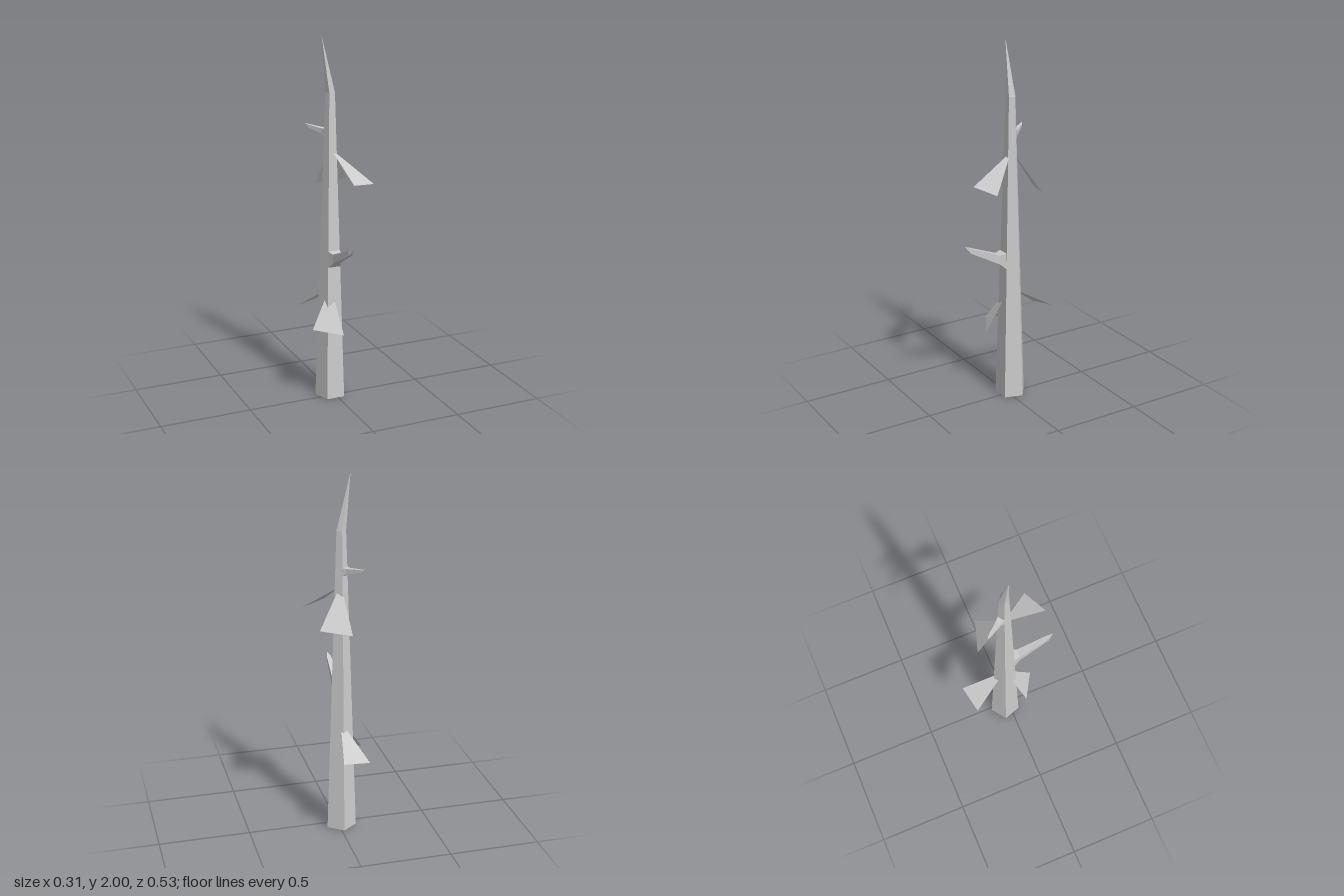
import * as THREE from 'three';

const CX = -0.014, CZ = -0.025; // trunk axis
const BASE_R = 0.086, KNEE_R = 0.027, KNEE_Y = 1.7;
const radiusAt = (y) => BASE_R + (KNEE_R - BASE_R) * (y / KNEE_Y);

const material = new THREE.MeshStandardMaterial({
  color: 0xcccccc, flatShading: true, side: THREE.DoubleSide,
});

function triangles(name, corners) {
  const geometry = new THREE.BufferGeometry().setFromPoints(corners);
  geometry.computeVertexNormals();
  const mesh = new THREE.Mesh(geometry, material);
  mesh.name = name;
  return mesh;
}

// Skin a stack of rings and close it in a pointed tip
function spike(name, rings, tip) {
  const out = [];
  const n = rings[0].length;
  rings.forEach((ring, k) => {
    const next = rings[k + 1];
    for (let i = 0; i < n; i++) {
      const j = (i + 1) % n;
      if (next) out.push(ring[i], ring[j], next[j], ring[i], next[j], next[i]);
      else out.push(ring[i], ring[j], tip);
    }
  });
  return triangles(name, out);
}

function pentagon(y, r) {
  return Array.from({ length: 5 }, (_, i) => {
    const a = Math.PI + (i * Math.PI * 2) / 5;
    return new THREE.Vector3(CX + r * Math.sin(a), y, CZ + r * Math.cos(a));
  });
}

// Thorn-like twig growing from one trunk face; sections are [distance along, width, low, high]
function twig(name, angle, sections, [tipOut, tipY]) {
  const n = new THREE.Vector3(Math.sin(angle), 0, Math.cos(angle));
  const side = new THREE.Vector3(Math.cos(angle), 0, -Math.sin(angle));
  const at = (out, s, y) => new THREE.Vector3(CX, y, CZ).addScaledVector(n, out).addScaledVector(side, s);
  const rings = sections.map(([out, w, low, high]) => [
    at(out, -w / 2, low), at(out, w / 2, low), at(out, w / 2, high), at(out, -w / 2, high),
  ]);
  return spike(name, rings, at(tipOut, 0.003, tipY));
}

export function createModel() {
  const model = new THREE.Group();
  model.name = 'sapling';

  // Tapered five-sided trunk, open below, with a bent tip
  model.add(spike('trunk', [pentagon(0, BASE_R), pentagon(KNEE_Y, KNEE_R)],
    new THREE.Vector3(-0.065, 2, -0.022)));

  // Twigs
  const faceOut = (y) => radiusAt(y) * Math.cos(Math.PI / 5);
  model.add(twig('frontTwig', 0, [
    [faceOut(0.8), 0.068, 0.757, 0.848],
    [0.083, 0.046, 0.79, 0.842],
    [0.257, 0.022, 0.885, 0.912],
  ], [0.289, 0.927]));
  model.add(twig('backTwig', (-144 * Math.PI) / 180, [
    [faceOut(1.48), 0.042, 1.462, 1.507],
    [0.05, 0.03, 1.477, 1.506],
    [0.137, 0.013, 1.502, 1.516],
  ], [0.161, 1.522]));

  // Flat triangular leaves rooted in the trunk axis: root height, then the two outer corners
  const leaves = [
    ['lowerBackLeaf', 0.628, [-0.121, 0.465, -0.236], [0.03, 0.487, -0.265]],
    ['lowerFrontLeaf', 0.64, [-0.153, 0.428, 0.053], [-0.008, 0.405, 0.138]],
    ['upperBackLeaf', 1.41, [-0.037, 1.177, -0.184], [0.125, 1.2, -0.13]],
    ['upperFrontLeaf', 1.4, [0.0125, 1.255, 0.219], [0.152, 1.235, 0.159]],
  ];
  for (const [name, y, a, b] of leaves) {
    const [p, q] = [new THREE.Vector3(...a), new THREE.Vector3(...b)];
    const root = new THREE.Vector3(CX, y, CZ);
    // keep the upper side of the leaf as its front
    const up = q.clone().sub(p).cross(root.clone().sub(p)).y > 0;
    model.add(triangles(name, up ? [p, q, root] : [q, p, root]));
  }
  return model;
}
